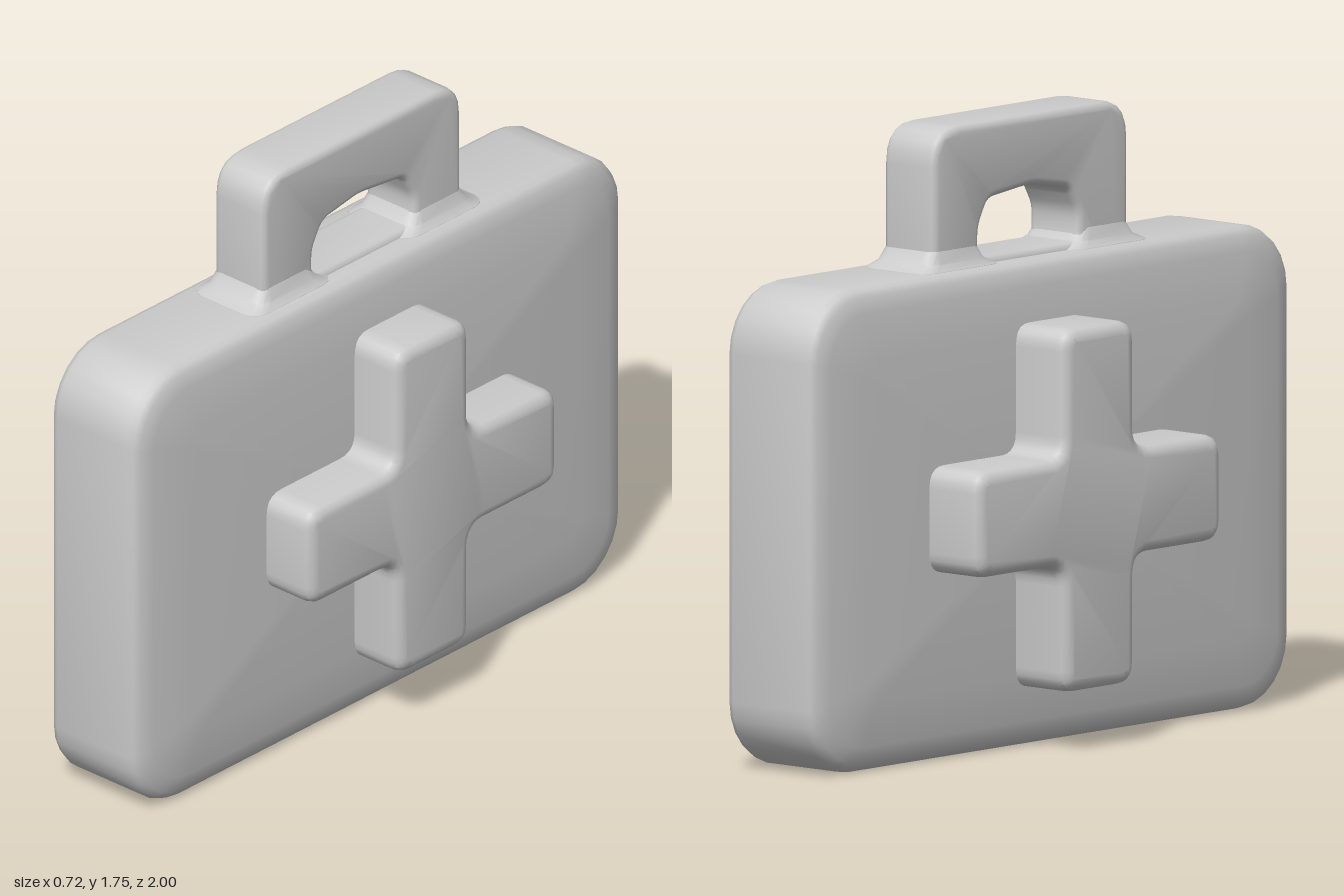
import * as THREE from 'three';
import { toCreasedNormals } from 'three/addons/utils/BufferGeometryUtils.js';

const material = new THREE.MeshStandardMaterial({ color: 0xcccccc });

// Closed path through corner points, each corner rounded by radius r
function roundedPath(points, r, PathType = THREE.Shape) {
  const path = new PathType();
  const pts = points.map(([x, y]) => new THREE.Vector2(x, y));
  const n = pts.length;
  const toward = (a, b) => b.clone().sub(a).normalize().multiplyScalar(r).add(a);
  pts.forEach((p, i) => {
    const a = toward(p, pts[(i + n - 1) % n]);
    const b = toward(p, pts[(i + 1) % n]);
    if (i === 0) path.moveTo(a.x, a.y);
    else path.lineTo(a.x, a.y);
    path.quadraticCurveTo(p.x, p.y, b.x, b.y);
  });
  path.closePath();
  return path;
}

// Solid skinned over rounded rectangles: each ring is [halfWidth, halfHeight, radius, level]
function loft(rings, steps = 6) {
  const pos = [];
  const index = [];
  const n = 4 * (steps + 1);
  for (const [w, h, r, level] of rings) {
    for (let k = 0; k < 4; k++) {
      const sx = k === 0 || k === 3 ? 1 : -1;
      const sy = k < 2 ? 1 : -1;
      for (let i = 0; i <= steps; i++) {
        const a = (k + i / steps) * Math.PI / 2;
        pos.push(sx * (w - r) + r * Math.cos(a), sy * (h - r) + r * Math.sin(a), level);
      }
    }
  }
  const last = (rings.length - 1) * n;
  const c0 = rings.length * n;
  pos.push(0, 0, rings[0][3], 0, 0, rings[rings.length - 1][3]);
  for (let j = 0; j < n; j++) {
    const k = (j + 1) % n;
    for (let i = 0; i < last; i += n) {
      index.push(i + j, i + k, i + n + k, i + j, i + n + k, i + n + j);
    }
    index.push(c0, k, j, c0 + 1, last + j, last + k);
  }
  const g = new THREE.BufferGeometry();
  g.setAttribute('position', new THREE.Float32BufferAttribute(pos, 3));
  g.setIndex(index);
  return g;
}

// Bevelled slab from a (z, y) profile, lying between x0 and x1
function slab(shape, x0, x1, bevel) {
  const g = new THREE.ExtrudeGeometry(shape, {
    depth: x1 - x0 - 2 * bevel, curveSegments: 5,
    bevelThickness: bevel, bevelSize: bevel, bevelOffset: -bevel, bevelSegments: 3,
  });
  g.translate(0, 0, bevel - (x1 - x0) / 2);
  g.rotateY(-Math.PI / 2);
  g.translate((x0 + x1) / 2, 0, 0);
  return g;
}

export function createModel() {
  const group = new THREE.Group();
  const add = (name, geometry) => {
    const mesh = new THREE.Mesh(toCreasedNormals(geometry, 0.6), material);
    mesh.name = name;
    group.add(mesh);
  };

  // Case: rounded box whose large sides bulge slightly
  const half = [[0, 0.13], [0.008, 0.15], [0.025, 0.163], [0.07, 0.172], [0.2, 0.186]];
  const ring = ([inset, x], s) => [1 - inset, 0.678 - inset, Math.max(0.19 - inset * 0.7, 0.05), s * x];
  const body = loft([
    ...half.slice().reverse().map((p) => ring(p, -1)),
    ...half.map((p) => ring(p, 1)),
  ]);
  body.rotateY(-Math.PI / 2).translate(0.01, 0.678, 0);
  add('caseBody', body);

  // Raised cross on each large side
  const arm = 0.15;
  const reach = 0.51;
  const cross = [
    [arm, -reach], [arm, -arm], [reach, -arm], [reach, arm], [arm, arm], [arm, reach],
    [-arm, reach], [-arm, arm], [-reach, arm], [-reach, -arm], [-arm, -arm], [-arm, -reach],
  ].map(([z, y]) => [z - 0.025, y + 0.68]);
  const crossShape = roundedPath(cross, 0.06);
  add('leftCross', slab(crossShape, 0.08, 0.36, 0.035));
  add('rightCross', slab(crossShape, -0.36, -0.08, 0.035));

  // Carrying handle with a faceted grip opening
  const handle = roundedPath([[0.4, 1.2], [0.4, 1.755], [-0.415, 1.755], [-0.415, 1.2]].reverse(), 0.11);
  handle.holes.push(roundedPath([
    [0.19, 1.375], [0.19, 1.46], [0.15, 1.53], [0, 1.555],
    [-0.18, 1.535], [-0.22, 1.46], [-0.22, 1.375],
  ], 0.025, THREE.Path));
  add('handle', slab(handle, -0.085, 0.105, 0.022));

  // Flared feet where the handle meets the case
  for (const [name, z] of [['frontHandleFoot', 0.3], ['backHandleFoot', -0.32]]) {
    const foot = loft([
      [0.13, 0.17, 0.05, 1.33], [0.125, 0.165, 0.05, 1.357],
      [0.107, 0.125, 0.04, 1.375], [0.096, 0.1, 0.03, 1.41],
    ], 3);
    foot.rotateX(-Math.PI / 2).translate(0.01, 0, z);
    add(name, foot);
  }
  return group;
}
